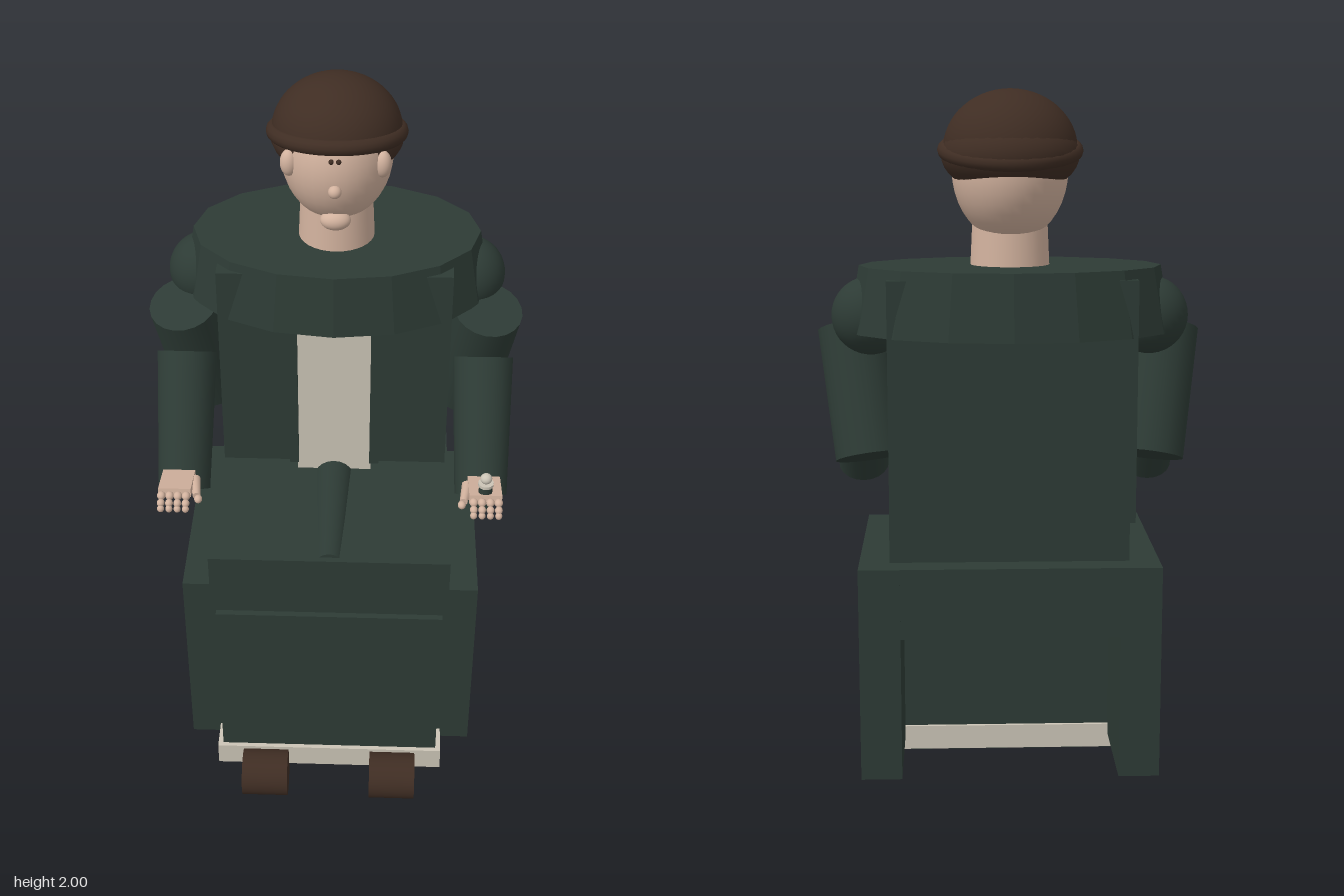
import * as THREE from 'three';

export function createModel() {
  const model = new THREE.Group();
  model.name = 'seatedFigure';

  const mat = (name, color, flat = false) => {
    const m = new THREE.MeshStandardMaterial({ color, flatShading: flat });
    m.name = name;
    return m;
  };
  const green = mat('darkGreen', 0x2d3b35);
  const cream = mat('cream', 0xcbc4b6);
  const skin = mat('skin', 0xd2b29e);
  const brown = mat('darkBrown', 0x3f2d23);

  const add = (name, geo, material, parent = model) => {
    const mesh = new THREE.Mesh(geo, material);
    mesh.name = name;
    parent.add(mesh);
    return mesh;
  };
  // Box given by its extents on each axis
  const box = (name, material, [x0, x1], [y0, y1], [z0, z1], parent) => {
    const mesh = add(name, new THREE.BoxGeometry(x1 - x0, y1 - y0, z1 - z0), material, parent);
    mesh.position.set((x0 + x1) / 2, (y0 + y1) / 2, (z0 + z1) / 2);
    return mesh;
  };
  const ball = (name, material, pos, radii, parent) => {
    const mesh = add(name, new THREE.SphereGeometry(1, 32, 20), material, parent);
    mesh.position.set(...pos);
    mesh.scale.set(...radii);
    return mesh;
  };
  // Tapered cylinder from point a (radius ra) to point b (radius rb)
  const limb = (name, material, a, b, ra, rb, parent, sides = 20) => {
    const from = new THREE.Vector3(...a), to = new THREE.Vector3(...b);
    const dir = to.clone().sub(from);
    const mesh = add(name, new THREE.CylinderGeometry(rb, ra, dir.length(), sides), material, parent);
    mesh.position.copy(from).add(to).multiplyScalar(0.5);
    mesh.quaternion.setFromUnitVectors(new THREE.Vector3(0, 1, 0), dir.normalize());
    return mesh;
  };

  // Seat, lap and front of the gown
  box('seat', green, [-0.31, 0.31], [0.51, 0.71], [-0.299, 0.2]);
  box('lap', green, [-0.335, 0.335], [0.54, 0.86], [-0.225, 0.397]);
  box('gownFront', green, [-0.32, 0.32], [0.1, 0.667], [0.03, 0.415]);
  limb('lapFold', green, [0, 0.832, -0.02], [0, 0.832, 0.38], 0.058, 0.04);

  // Hem with a dark underside
  box('hem', cream, [-0.335, 0.335], [0.06, 0.132], [0.02, 0.428]);
  box('hemUnderside', green, [-0.32, 0.32], [0.055, 0.062], [0.03, 0.415]);

  // Torso with its front panel and borders
  box('torso', green, [-0.325, 0.325], [0.875, 1.515], [-0.445, -0.035]);
  box('frontPanel', cream, [-0.107, 0.107], [0.862, 1.45], [-0.045, -0.012]);

  // Shoulder cape
  const cape = add('cape', new THREE.CylinderGeometry(0.93, 1, 0.175, 16),
    mat('darkGreenCape', 0x2d3b35, true));
  cape.scale.set(0.435, 1, 0.29);
  cape.position.set(0, 1.4525, -0.245);

  // Neck and head
  limb('neck', skin, [0, 1.5, -0.225], [0, 1.67, -0.225], 0.108, 0.1, model, 32);
  ball('head', skin, [0, 1.79, -0.238], [0.155, 0.19, 0.178]);
  ball('nose', skin, [0, 1.757, -0.06], [0.018, 0.018, 0.018]);
  ball('chin', skin, [0, 1.642, -0.115], [0.042, 0.028, 0.03]);

  // Hair and tilted cap
  ball('hair', brown, [0, 1.83, -0.262], [0.183, 0.108, 0.176]);
  const cap = new THREE.Group();
  cap.name = 'cap';
  cap.position.set(0, 1.843, -0.25);
  cap.rotation.x = -0.19;
  model.add(cap);
  const dome = add('capDome',
    new THREE.SphereGeometry(0.178, 40, 16, 0, Math.PI * 2, 0, Math.PI / 2), brown, cap);
  dome.scale.y = 0.157 / 0.178;
  const brim = add('capBrim', new THREE.TorusGeometry(0.171, 0.022, 12, 48), brown, cap);
  brim.rotation.x = Math.PI / 2;
  const capBase = add('capBase', new THREE.CircleGeometry(0.175, 40), brown, cap);
  capBase.rotation.x = Math.PI / 2;

  for (const s of [-1, 1]) {
    const side = s > 0 ? 'left' : 'right';
    const span = (a, b) => (s > 0 ? [a, b] : [-b, -a]);

    // Seat side, front border and shoe
    box(side + 'SeatSide', green, span(0.305, 0.42), [0.1, 0.71], [-0.3, 0.338]);
    box(side + 'FrontBorder', green, span(0.103, 0.13), [0.89, 1.45], [-0.045, -0.003]);
    box(side + 'Sole', brown, span(0.122, 0.257), [0.036, 0.075], [0.205, 0.47]);
    limb(side + 'Toe', brown, [s * 0.122, 0.068, 0.47], [s * 0.257, 0.068, 0.47], 0.068, 0.068, model, 28);

    // Ear and eye
    ball(side + 'Ear', skin, [s * 0.125, 1.803, -0.135], [0.024, 0.038, 0.024]);
    ball(side + 'Eye', brown, [s * 0.01, 1.842, -0.066], [0.007, 0.007, 0.007]);

    // Arm
    ball(side + 'Shoulder', green, [s * 0.375, 1.405, -0.245], [0.105, 0.105, 0.105]);
    limb(side + 'UpperArm', green, [s * 0.43, 1.36, -0.12], [s * 0.38, 1.015, -0.23], 0.098, 0.098);
    limb(side + 'Forearm', green, [s * 0.42, 1.235, -0.065], [s * 0.422, 0.917, 0.157], 0.085, 0.074);

    // Hand with curled fingers and thumb
    const hand = new THREE.Group();
    hand.name = side + 'Hand';
    model.add(hand);
    const palm = box('palm', skin, span(0.378, 0.467), [1.018, 1.043], [0.225, 0.337], hand);
    palm.rotation.x = -0.2;
    palm.position.y = 1.033;
    for (let i = 0; i < 4; i++) {
      const x = s * (0.39 + i * 0.0225);
      ball('knuckle', skin, [x, 1.041, 0.345], [0.0115, 0.0115, 0.013], hand);
      ball('fingerMiddle', skin, [x, 1.031, 0.364], [0.0105, 0.0105, 0.012], hand);
      ball('fingertip', skin, [x, 1.019, 0.374], [0.0095, 0.0105, 0.0095], hand);
    }
    limb('thumb', skin, [s * 0.376, 1.024, 0.25], [s * 0.364, 1.025, 0.325], 0.015, 0.011, hand, 12);
    ball('thumbTip', skin, [s * 0.359, 1.023, 0.335], [0.011, 0.011, 0.013], hand);
  }

  // Small handle held in the left hand
  const handle = new THREE.Group();
  handle.name = 'handle';
  model.add(handle);
  limb('handleGrip', green, [0.422, 1.0, 0.312], [0.422, 1.083, 0.312], 0.02, 0.018, handle);
  limb('handleCollar', cream, [0.422, 1.075, 0.312], [0.422, 1.084, 0.312], 0.021, 0.021, handle);
  ball('handleTip', cream, [0.422, 1.098, 0.312], [0.016, 0.015, 0.016], handle);

  return model;
}
